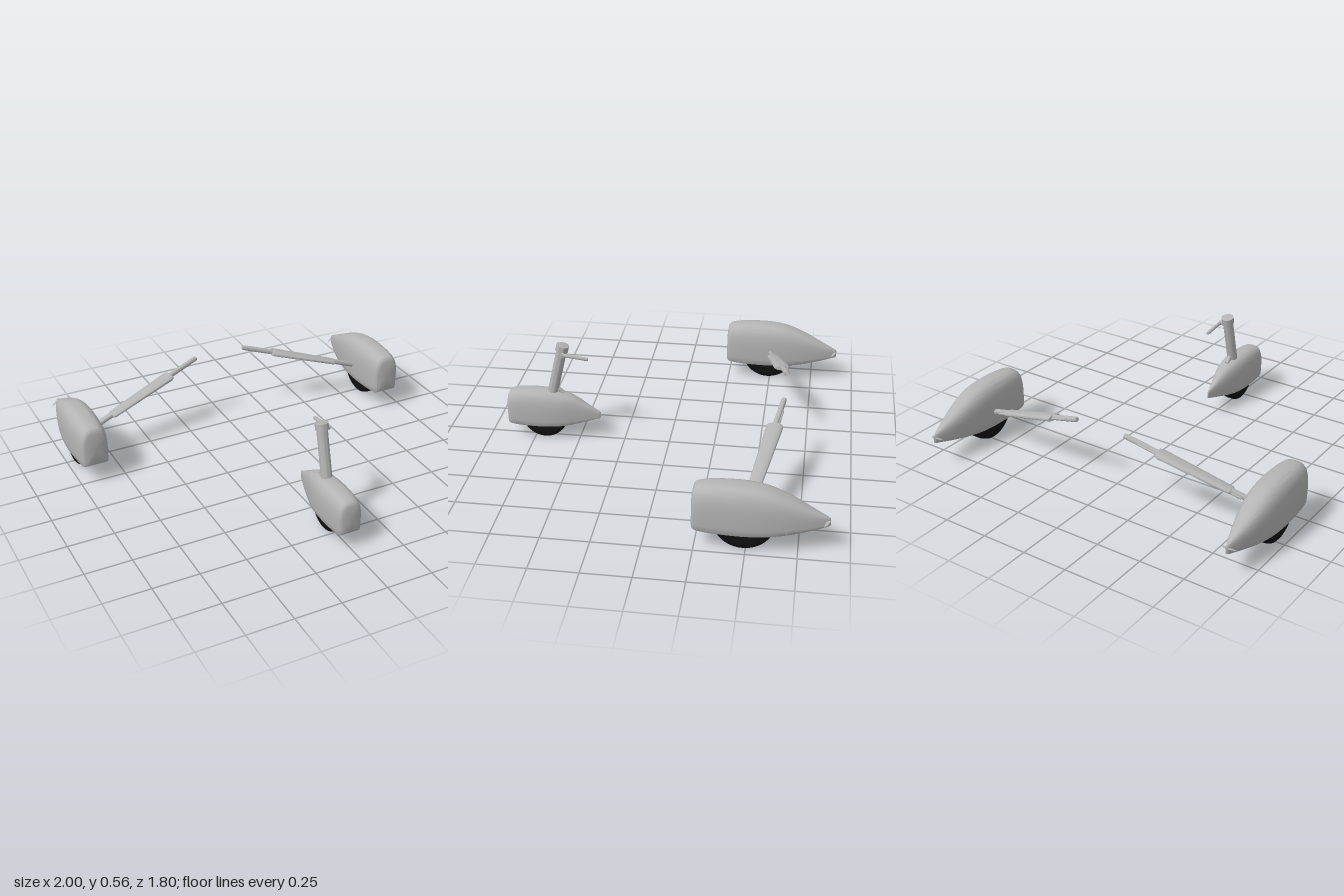
import * as THREE from 'three';
import { toCreasedNormals } from 'three/addons/utils/BufferGeometryUtils.js';

const mat = (name, color) => {
  const m = new THREE.MeshStandardMaterial({ color });
  m.name = name;
  return m;
};
const V = (x, y, z) => new THREE.Vector3(x, y, z);

export function createModel() {
  const paint = mat('grey paint', 0xb4b4b4);
  const rubber = mat('black rubber', 0x101010);
  const metal = mat('light metal', 0xdcdcdc);
  const model = new THREE.Group();
  model.name = 'landingGear';

  const add = (parent, name, geo, material) => {
    const m = new THREE.Mesh(geo, material);
    m.name = name;
    parent.add(m);
    return m;
  };

  // Turned part running from a to b; profile is [radius, fraction of length]; flat squeezes it vertically
  const turned = (parent, name, a, b, profile, flat = 1, material = paint) => {
    const dir = b.clone().sub(a), len = dir.length();
    dir.normalize();
    const pts = profile.map(([r, t]) => new THREE.Vector2(r, t * len));
    const geo = toCreasedNormals(new THREE.LatheGeometry(pts, 28), 0.6);
    const up = Math.abs(dir.y) > 0.8 ? V(0, 0, 1) : V(0, 1, 0);
    const side = dir.clone().cross(up).normalize();
    const top = side.clone().cross(dir);
    geo.scale(1, 1, flat);
    geo.applyMatrix4(new THREE.Matrix4().makeBasis(side, dir, top));
    const m = add(parent, name, geo, material);
    m.position.copy(a);
    return m;
  };
  const rod = (parent, name, a, b, r) =>
    turned(parent, name, a, b, [[0, 0], [r * 0.8, 0], [r, 0.02], [r, 0.98], [r * 0.8, 1], [0, 1]]);

  // Fairing shell lofted front to back through [z, half width, top, bottom], with a wheel opening below
  const fairing = (stations, hole) => {
    const size = new THREE.CatmullRomCurve3(stations.map(s => V(s[1], s[2], s[3])), false, 'catmullrom', 0.5);
    const along = new THREE.CatmullRomCurve3(stations.map(s => V(s[0], 0, 0)), false, 'catmullrom', 0.5);
    const rows = 60, arc = 14, pos = [], idx = [];
    let count = 0;
    const ring = (t, collapse) => {
      const { x: w, y: top, z: bot } = size.getPoint(t);
      const z = along.getPoint(t).x, h = top - bot, mid = bot + 0.38 * h;
      const k = 1 - ((z - hole.z) / hole.length) ** 2;
      const lip = k > 0 ? Math.min(hole.width * Math.sqrt(k), w * 0.88) : 0;
      const half = [[lip, bot], [w * 0.9, bot], [w * 0.95, bot + 0.025 * h], [w * 0.98, bot + 0.15 * h]];
      for (let i = 0; i <= arc; i++) {
        const a = (i / arc) * Math.PI / 2, e = 2 / 2.9;
        half.push([w * Math.max(0, Math.cos(a)) ** e, mid + (top - mid) * Math.sin(a) ** e]);
      }
      half[half.length - 1][0] = 0;
      const loop = half.concat(half.slice(0, -1).reverse().map(([x, y]) => [-x, y]));
      count = loop.length;
      for (const [x, y] of loop) pos.push(collapse ? 0 : x, collapse ? (top + bot) / 2 : y, z);
    };
    ring(0, true);
    for (let i = 0; i <= rows; i++) ring(i / rows, false);
    ring(1, true);
    for (let i = 0; i < rows + 2; i++) {
      for (let j = 0; j < count - 1; j++) {
        const a = i * count + j, c = a + count;
        idx.push(a, c, a + 1, a + 1, c, c + 1);
      }
    }
    const geo = new THREE.BufferGeometry();
    geo.setAttribute('position', new THREE.Float32BufferAttribute(pos, 3));
    geo.setIndex(idx);
    return toCreasedNormals(geo, 0.75);
  };

  // Tyre with rounded shoulders and a hub
  const wheel = (parent, x, z, r, w) => {
    const g = new THREE.Group();
    g.name = 'wheel';
    const p = [[0.45, -0.85], [0.6, -0.97], [0.78, -1], [0.9, -0.94], [0.97, -0.78], [1, -0.45]];
    const prof = p.concat(p.slice().reverse().map(([a, b]) => [a, -b]))
      .map(([a, b]) => new THREE.Vector2(a * r, b * w));
    add(g, 'tyre', new THREE.LatheGeometry(prof, 48), rubber);
    add(g, 'hub', new THREE.CylinderGeometry(r * 0.46, r * 0.46, w * 2.02, 32), metal);
    g.rotation.z = Math.PI / 2;
    g.position.set(x, r, z);
    parent.add(g);
  };

  // Main gear, mirrored left and right
  const mainShell = fairing([
    [-0.237, 0.055, 0.285, 0.118], [-0.243, 0.067, 0.31, 0.108], [-0.26, 0.075, 0.326, 0.102],
    [-0.31, 0.082, 0.337, 0.098], [-0.40, 0.087, 0.343, 0.094], [-0.50, 0.0875, 0.341, 0.093],
    [-0.60, 0.081, 0.325, 0.097], [-0.70, 0.065, 0.286, 0.108], [-0.79, 0.042, 0.24, 0.123],
    [-0.86, 0.019, 0.204, 0.136], [-0.89, 0.007, 0.188, 0.141], [-0.897, 0.002, 0.18, 0.148],
  ], { z: -0.487, length: 0.2, width: 0.07 });
  for (const s of [1, -1]) {
    const g = new THREE.Group();
    g.name = s > 0 ? 'leftMainGear' : 'rightMainGear';
    model.add(g);
    add(g, 'wheelFairing', mainShell, paint).position.x = s * 0.91;
    wheel(g, s * 0.91, -0.487, 0.155, 0.056);

    // Leg: slim rod through a flattened sleeve, with a thin line beside it
    const leg = (x, dz = 0) => V(s * x, 0.18 + (0.83 - x) * 0.315, -0.5 - (0.83 - x) * 0.186 + dz);
    rod(g, 'legRod', leg(0.87), leg(0.148), 0.0145);
    turned(g, 'legSleeve', leg(0.715), leg(0.325),
      [[0, 0], [0.026, 0], [0.034, 0.025], [0.044, 0.965], [0.036, 1], [0, 1]], 0.4);
    rod(g, 'brakeLine', leg(0.77, -0.022), leg(0.225, -0.014), 0.006);

    // Small swept blades at the tail tip
    for (const t of [1, -1])
      turned(g, 'tailBlade', V(s * 0.91 + t * 0.002, 0.172, -0.89), V(s * 0.91 + t * 0.042, 0.158, -0.868),
        [[0, 0], [0.009, 0.05], [0.007, 0.6], [0, 1]], 0.3);
  }

  // Nose gear
  const nose = new THREE.Group();
  nose.name = 'noseGear';
  model.add(nose);
  add(nose, 'wheelFairing', fairing([
    [0.898, 0.045, 0.236, 0.1], [0.893, 0.056, 0.255, 0.091], [0.878, 0.064, 0.27, 0.085],
    [0.83, 0.07, 0.28, 0.081], [0.76, 0.073, 0.285, 0.079], [0.68, 0.072, 0.283, 0.079],
    [0.60, 0.063, 0.271, 0.083], [0.53, 0.047, 0.249, 0.093], [0.46, 0.027, 0.207, 0.107],
    [0.41, 0.011, 0.177, 0.118], [0.388, 0.005, 0.165, 0.122], [0.382, 0.002, 0.157, 0.13],
  ], { z: 0.694, length: 0.165, width: 0.056 }), paint);
  wheel(nose, 0, 0.694, 0.127, 0.044);

  // Raked strut with a collar, steering arm and small gusset
  const strut = y => V(0, y, 0.645 - (y - 0.28) * 0.235);
  rod(nose, 'strut', strut(0.2), strut(0.54), 0.029);
  rod(nose, 'strutCollar', strut(0.522), strut(0.557), 0.035);
  rod(nose, 'steeringArm', V(0.042, 0.517, 0.578), V(0.042, 0.5, 0.435), 0.0095);
  rod(nose, 'armPivot', V(0.01, 0.515, 0.575), V(0.05, 0.515, 0.575), 0.012);
  rod(nose, 'gusset', V(0, 0.3, 0.625), V(0, 0.262, 0.585), 0.012);

  return model;
}
